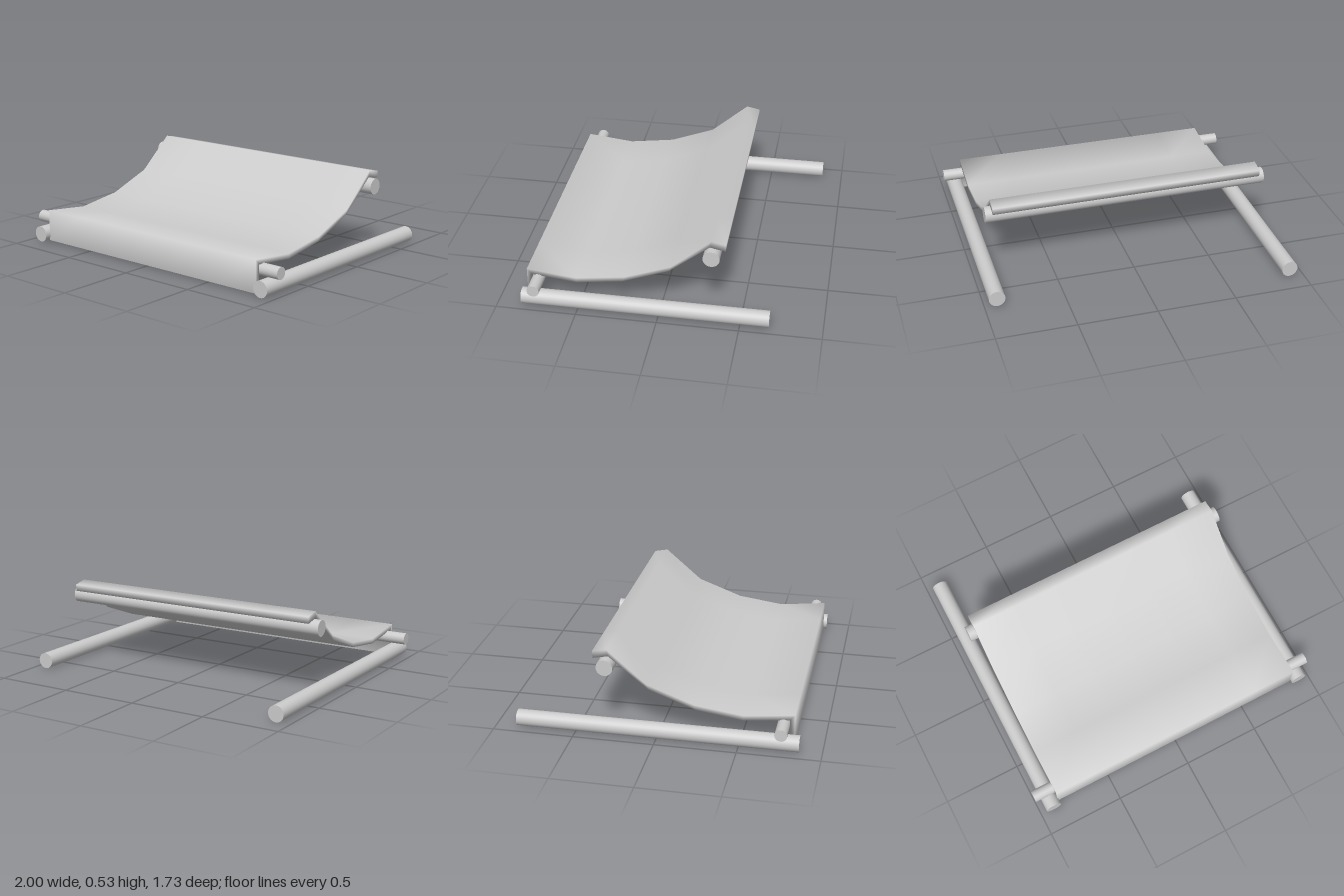
import * as THREE from 'three';
import { mergeVertices } from 'three/addons/utils/BufferGeometryUtils.js';

const material = new THREE.MeshStandardMaterial({ color: 0xcccccc });

// Round pole between two points
function pole(name, radius, from, to) {
  const a = new THREE.Vector3(...from);
  const b = new THREE.Vector3(...to);
  const dir = b.clone().sub(a);
  const mesh = new THREE.Mesh(new THREE.CylinderGeometry(radius, radius, dir.length(), 28), material);
  mesh.position.copy(a).add(b).multiplyScalar(0.5);
  mesh.quaternion.setFromUnitVectors(new THREE.Vector3(0, 1, 0), dir.normalize());
  mesh.name = name;
  return mesh;
}

// Sling fabric: side profile (z, y) swept across the width, with softly blended normals
function sling() {
  const profile = [
    [0.827, 0.01], [0.827, 0.213], [0.52, 0.179], [0.22, 0.22], [-0.07, 0.328], [-0.312, 0.535], [-0.4, 0.517],
    [-0.397, 0.474], [-0.302, 0.493], [-0.055, 0.295], [0.23, 0.188], [0.517, 0.147], [0.797, 0.178], [0.797, 0.01],
  ].map(([z, y]) => new THREE.Vector2(z, y));
  const raw = new THREE.ExtrudeGeometry(new THREE.Shape(profile), { depth: 1.735, steps: 6, bevelEnabled: false });
  raw.deleteAttribute('normal');
  raw.deleteAttribute('uv');
  const geometry = mergeVertices(raw, 1e-4);
  geometry.rotateY(-Math.PI / 2);
  geometry.translate(0.87, 0, 0);
  geometry.computeVertexNormals();
  const mesh = new THREE.Mesh(geometry, material);
  mesh.name = 'slingFabric';
  return mesh;
}

export function createModel() {
  const group = new THREE.Group();
  group.name = 'slingSeat';

  group.add(
    // Ground rails, the right one longer
    pole('rightRail', 0.051, [-0.91, 0.052, -0.867], [-0.91, 0.052, 0.865]),
    pole('leftRail', 0.051, [0.92, 0.052, -0.678], [0.92, 0.052, 0.85]),
    // Crossbars carrying the fabric
    pole('frontCrossbar', 0.038, [-1, 0.142, 0.76], [1, 0.142, 0.76]),
    pole('backCrossbar', 0.051, [-0.912, 0.435, -0.316], [0.91, 0.435, -0.316]),
    sling(),
  );
  return group;
}
